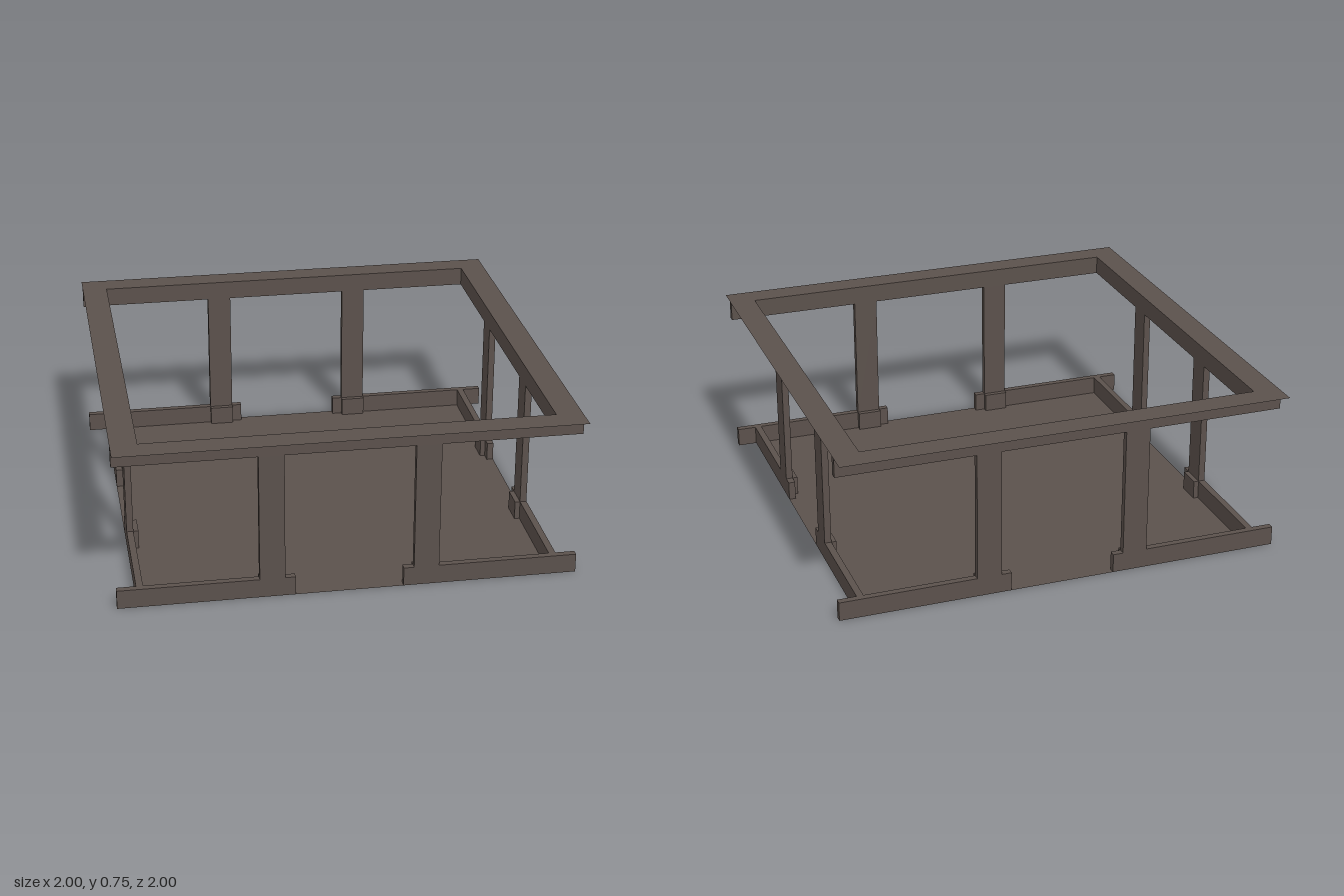
import * as THREE from 'three';

const OUT = 0.915, IN = 0.885;   // outer and inner faces of the wall line
const BASE = 0.085, BEAM = 0.665, TOP = 0.75;

export function createModel() {
  const model = new THREE.Group();
  model.name = 'openPavilion';
  const brown = new THREE.MeshStandardMaterial({ color: 0x5b514c, side: THREE.DoubleSide });
  brown.name = 'darkBrown';

  // Box given by its limits on each axis
  const box = (parent, name, x0, x1, y0, y1, z0, z1) => {
    const mesh = new THREE.Mesh(new THREE.BoxGeometry(x1 - x0, y1 - y0, z1 - z0), brown);
    mesh.position.set((x0 + x1) / 2, (y0 + y1) / 2, (z0 + z1) / 2);
    mesh.name = name;
    parent.add(mesh);
  };

  // Flat floor
  const floor = new THREE.Mesh(new THREE.PlaneGeometry(2 * OUT, 2 * OUT).rotateX(-Math.PI / 2), brown);
  floor.name = 'floor';
  model.add(floor);

  // Four walls; front and back run past the corners
  ['front', 'left', 'back', 'right'].forEach((side, i) => {
    const wall = new THREE.Group();
    wall.name = side + 'Wall';
    wall.rotation.y = i * Math.PI / 2;
    const end = i % 2 ? IN : 1;
    box(wall, 'topBeam', -end, end, BEAM, TOP, IN, OUT);
    for (const s of [-1, 1]) {
      const span = (a, b) => [Math.min(s * a, s * b), Math.max(s * a, s * b)];
      box(wall, 'baseboard', ...span(0.235, end), 0, BASE, IN, OUT);
      box(wall, 'post', ...span(0.28, 0.39), BASE, BEAM, IN, OUT);
      box(wall, 'plinth', ...span(0.28, 0.39), 0, BASE, 0.862, OUT);
    }
    model.add(wall);
  });

  // Thin square rim on top of the beams
  const square = (T, r) => new T([[-r, -r], [r, -r], [r, r], [-r, r]].map(p => new THREE.Vector2(...p)));
  const shape = square(THREE.Shape, 1);
  shape.holes.push(square(THREE.Path, IN));
  const rim = new THREE.Mesh(new THREE.ShapeGeometry(shape).rotateX(-Math.PI / 2), brown);
  rim.position.y = TOP;
  rim.name = 'roofRim';
  model.add(rim);

  return model;
}
